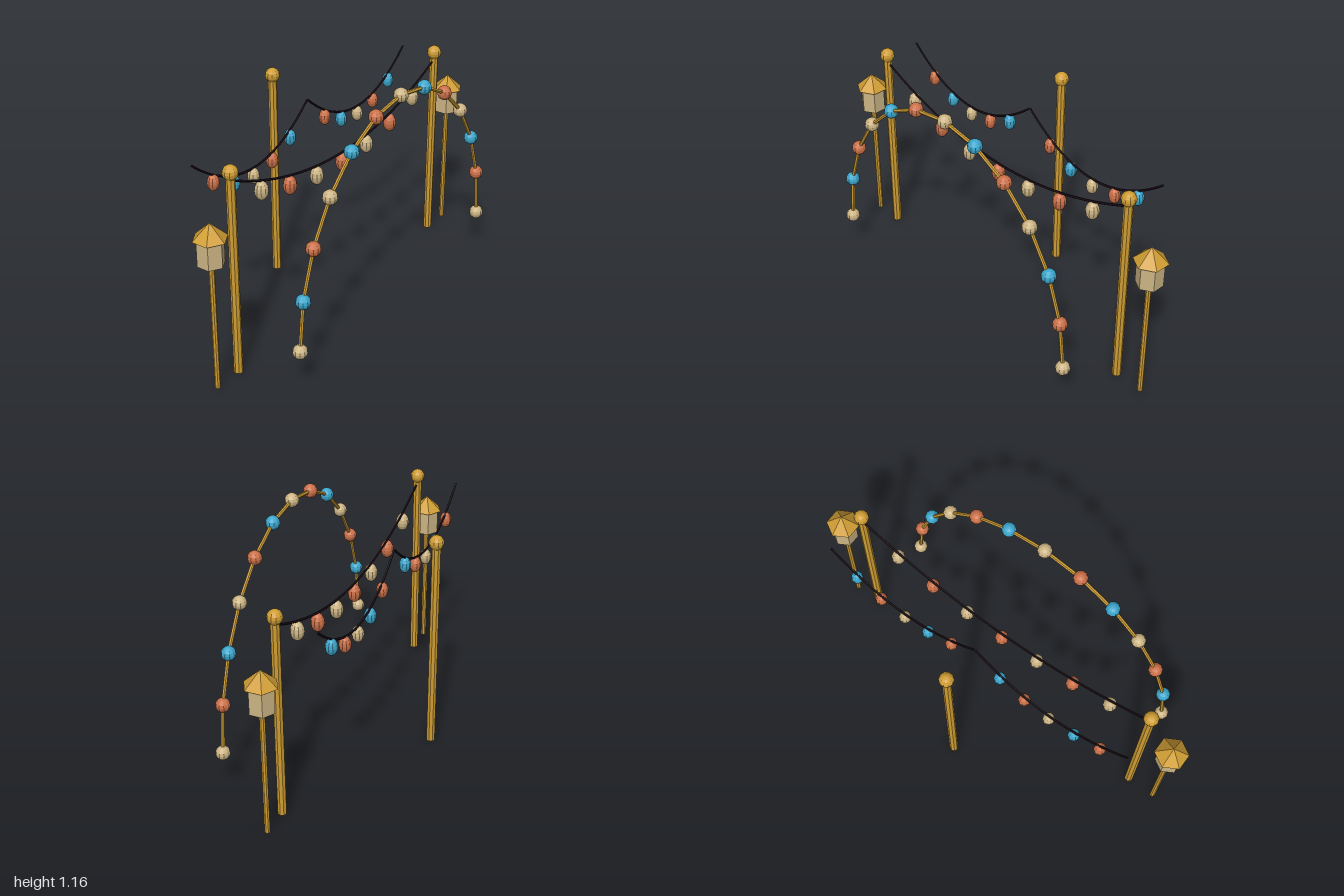
import * as THREE from 'three';

const mat = (name, color) => {
  const m = new THREE.MeshStandardMaterial({ color, flatShading: true });
  m.name = name;
  return m;
};

export function createModel() {
  const gold = mat('gold', 0xcf9d33);
  const cream = mat('cream', 0xcdb585);
  const coral = mat('coral', 0xcb7048);
  const blue = mat('blue', 0x3ca6cc);
  const cord = mat('dark cord', 0x20121a);

  const model = new THREE.Group();
  model.name = 'festivalLights';

  const add = (name, geometry, material, x, y, z, parent = model) => {
    const mesh = new THREE.Mesh(geometry, material);
    mesh.name = name;
    mesh.position.set(x, y, z);
    parent.add(mesh);
    return mesh;
  };
  const group = (name) => {
    const g = new THREE.Group();
    g.name = name;
    model.add(g);
    return g;
  };

  // Tall poles with ball finials
  const pole = (name, x, z, ballY) => {
    const g = group(name);
    add('shaft', new THREE.CylinderGeometry(0.021, 0.021, ballY - 0.02, 8), gold, x, (ballY - 0.02) / 2, z, g);
    add('finial', new THREE.SphereGeometry(0.035, 10, 8), gold, x, ballY, z, g);
  };
  pole('rightPole', -0.79, 0.044, 0.987);
  pole('leftPole', 0.79, 0.044, 0.987);
  pole('backPole', 0, -0.352, 1.043);

  // Hexagonal lanterns on thin posts
  for (const s of [-1, 1]) {
    const g = group(s < 0 ? 'rightLantern' : 'leftLantern');
    const x = s * 0.9325, z = 0.044;
    add('post', new THREE.CylinderGeometry(0.013, 0.013, 0.63, 8), gold, x, 0.315, z, g);
    add('lanternBody', new THREE.CylinderGeometry(0.061, 0.061, 0.122, 6), cream, x, 0.686, z, g);
    add('lanternRoof', new THREE.ConeGeometry(0.078, 0.073, 6), gold, x, 0.782, z, g);
  }

  // Front arch: straight rods joining round lights along half an ellipse
  const arch = group('lightArch');
  const archColours = [cream, blue, coral];
  const archZ = 0.353;
  const up = new THREE.Vector3(0, 1, 0);
  let previous = null;
  for (let i = 0; i <= 12; i++) {
    const a = (i / 12) * Math.PI;
    const p = new THREE.Vector3(-0.746 * Math.cos(a), 0.206 + 0.916 * Math.sin(a), archZ);
    add('archLight', new THREE.SphereGeometry(0.034, 10, 8), archColours[i % 3], p.x, p.y, p.z, arch);
    if (previous) {
      const d = p.clone().sub(previous);
      const mid = p.clone().add(previous).multiplyScalar(0.5);
      const rod = add('archRod', new THREE.CylinderGeometry(0.009, 0.009, d.length(), 6), gold, mid.x, mid.y, mid.z, arch);
      rod.quaternion.setFromUnitVectors(up, d.normalize());
    }
    previous = p;
  }

  // Sagging cord with evenly spaced hanging oval bulbs
  const garland = (name, x0, x1, endY, sag, z, colours, radius, halfHeight, drop) => {
    const g = group(name);
    const at = (t) => new THREE.Vector3(
      x0 + (x1 - x0) * t, endY - sag * (1 - (2 * t - 1) ** 2), z);
    const points = Array.from({ length: 17 }, (_, i) => at(i / 16));
    add('cord', new THREE.TubeGeometry(new THREE.CatmullRomCurve3(points), 32, 0.0055, 6), cord, 0, 0, 0, g);
    colours.forEach((colour, i) => {
      const p = at((i + 1) / (colours.length + 1));
      const bulb = new THREE.SphereGeometry(radius, 10, 8).scale(1, halfHeight / radius, 1);
      add('bulb', bulb, colour, p.x, p.y - drop, z, g);
    });
  };
  garland('mainGarland', -0.79, 0.79, 0.95, 0.193, 0.044,
    [cream, coral, cream, coral, cream, coral, cream], 0.032, 0.045, 0.047);
  const backColours = [coral, blue, cream, coral, blue];
  garland('backRightGarland', -0.81, 0, 0.97, 0.183, -0.152, backColours, 0.028, 0.039, 0.037);
  garland('backLeftGarland', 0, 0.81, 0.97, 0.183, -0.152, backColours, 0.028, 0.039, 0.037);

  return model;
}
